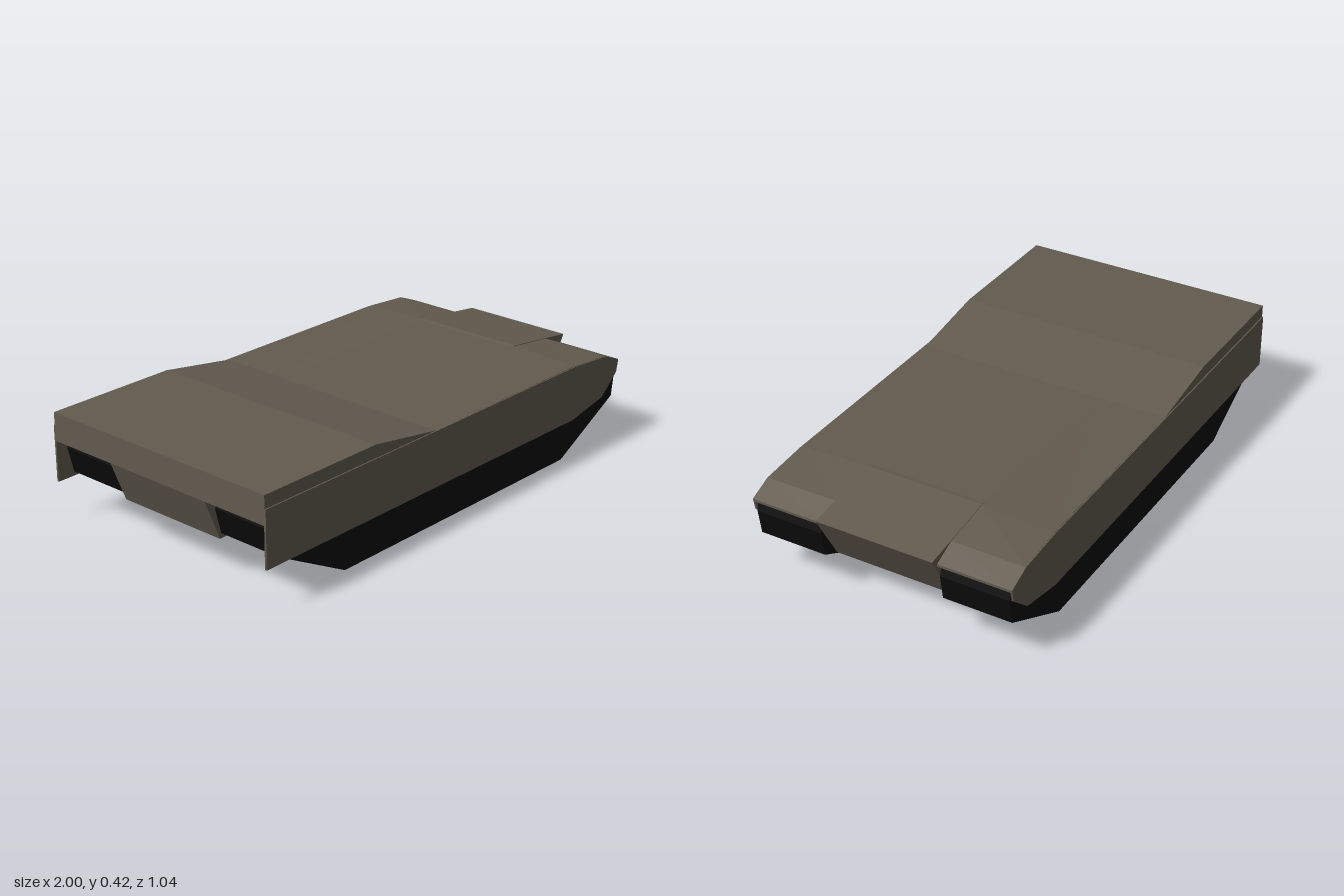
import * as THREE from 'three';

const paint = new THREE.MeshStandardMaterial({ color: 0x635b4f, flatShading: true });
const rubber = new THREE.MeshStandardMaterial({ color: 0x0b0b0b, flatShading: true });

// Side profile in x/y, extruded between two z positions
function slab(name, profile, z0, z1, material) {
  const shape = new THREE.Shape(profile.map(([x, y]) => new THREE.Vector2(x, y)));
  const geo = new THREE.ExtrudeGeometry(shape, { depth: z1 - z0, bevelEnabled: false });
  geo.translate(0, 0, z0);
  const mesh = new THREE.Mesh(geo, material);
  mesh.name = name;
  return mesh;
}

// Deck lofted along x: each station is [x, inner height, outer height]
function deck(stations, halfWidth, innerHalf, bottom) {
  const pos = [], index = [], n = 6;
  for (const [x, yi, yo] of stations) {
    pos.push(
      x, yo, -halfWidth, x, yi, -innerHalf, x, yi, innerHalf,
      x, yo, halfWidth, x, bottom, halfWidth, x, bottom, -halfWidth);
  }
  const last = (stations.length - 1) * n;
  for (let s = 0; s < last; s += n) {
    for (let j = 0; j < n; j++) {
      const a = s + j, b = s + (j + 1) % n;
      index.push(a, b, a + n, b, b + n, a + n);
    }
  }
  // End caps
  for (let j = 1; j < n - 1; j++) {
    index.push(0, j + 1, j, last, last + j, last + j + 1);
  }
  const geo = new THREE.BufferGeometry();
  geo.setAttribute('position', new THREE.Float32BufferAttribute(pos, 3));
  geo.setIndex(index);
  const flat = geo.toNonIndexed();
  flat.computeVertexNormals();
  const mesh = new THREE.Mesh(flat, paint);
  mesh.name = 'upperDeck';
  return mesh;
}

export function createModel() {
  const group = new THREE.Group();
  group.name = 'trackedHull';

  // Upper hull with engine deck step at the rear and fenders dropping at the nose
  group.add(deck([
    [-1, 0.42, 0.42], [-0.46, 0.42, 0.42], [-0.14, 0.37, 0.37],
    [0.68, 0.383, 0.372], [0.88, 0.358, 0.356], [0.97, 0.32, 0.32],
  ], 0.515, 0.233, 0.31));

  // Lower hull tub with sloping nose and tail, ending in the raised nose plate
  group.add(slab('lowerHull', [
    [-1, 0.32], [-0.93, 0.146], [0.89, 0.146], [1, 0.345],
    [0.68, 0.385], [0.5, 0.36], [-0.14, 0.35],
  ], -0.233, 0.233, paint));

  const trackProfile = [
    [-0.61, 0], [0.63, 0], [0.95, 0.17], [0.965, 0.27], [0.95, 0.32],
    [-0.94, 0.32], [-0.955, 0.27], [-0.93, 0.17],
  ];
  const skirtProfile = [
    [-1, 0.152], [0.68, 0.152], [0.87, 0.19], [0.96, 0.27], [0.97, 0.32],
    [0.88, 0.356], [0.68, 0.37], [-1, 0.37],
  ];
  for (const [side, s] of [['front', 1], ['back', -1]]) {
    const span = (a, b) => (s > 0 ? [a, b] : [-b, -a]);
    group.add(slab(side + 'Track', trackProfile, ...span(0.24, 0.508), rubber));
    group.add(slab(side + 'SideSkirt', skirtProfile, ...span(0.512, 0.52), paint));
  }
  return group;
}
